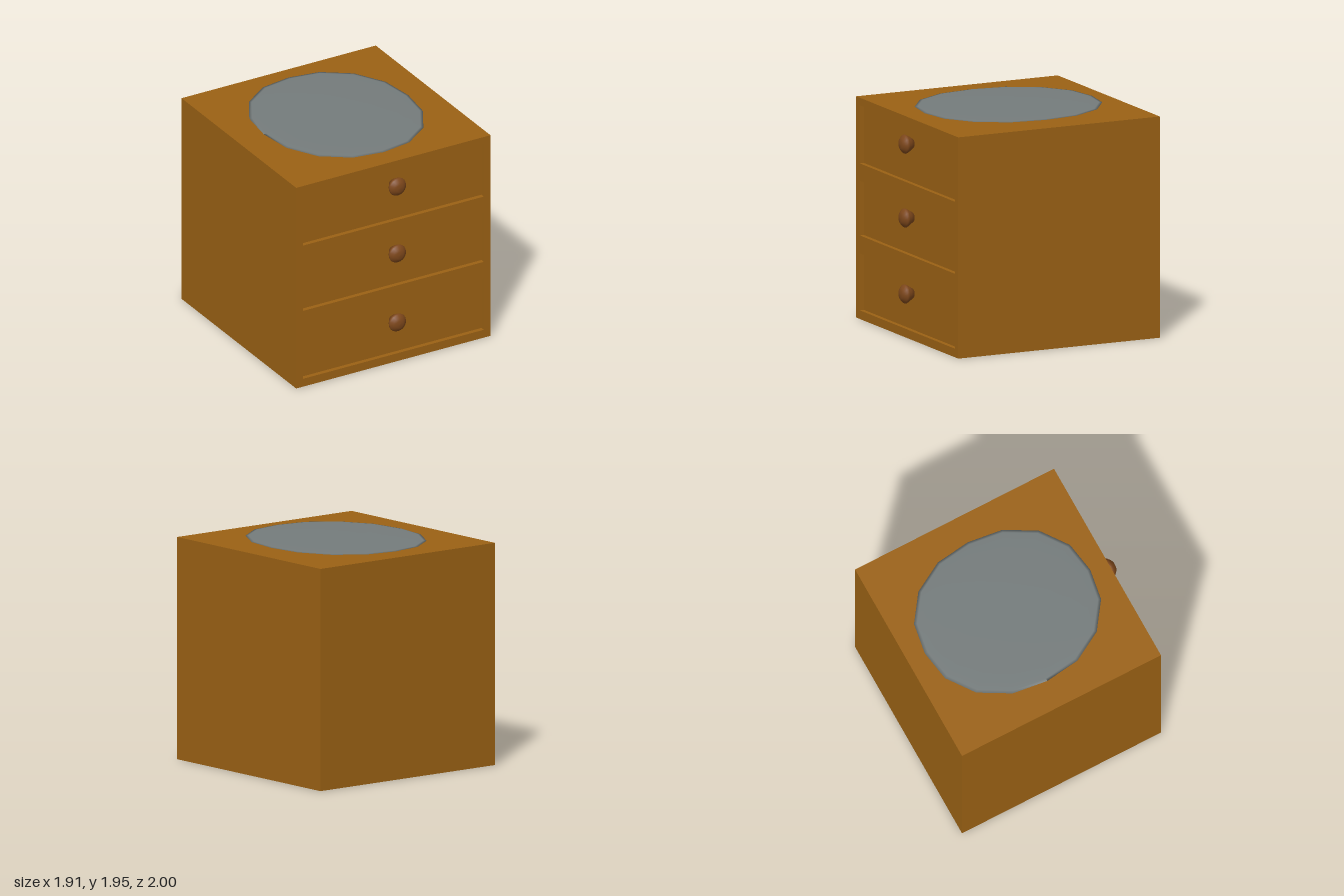
import * as THREE from 'three';

const wood = new THREE.MeshStandardMaterial({ color: 0x9a6114 });
const knobWood = new THREE.MeshStandardMaterial({ color: 0x7d471b });
const glass = new THREE.MeshStandardMaterial({ color: 0x747b7b });

const LEFT = -0.96, RIGHT = 0.955, TOP = 1.92, BACK = -1, FRONT = 0.92;
const FRAME = 0.05; // thickness of the front frame
const DRAWERS = [ // bottom, top and knob height of each drawer
  { name: 'bottom', y0: 0.075, y1: 0.57, knobY: 0.39 },
  { name: 'middle', y0: 0.725, y1: 1.2, knobY: 1.05 },
  { name: 'top', y0: 1.35, y1: 1.855, knobY: 1.69 },
];
const DRAWER_X0 = -0.895, DRAWER_X1 = 0.89;

function add(group, name, geometry, material) {
  const mesh = new THREE.Mesh(geometry, material);
  mesh.name = name;
  group.add(mesh);
  return mesh;
}

function boxBetween(x0, x1, y0, y1, z0, z1) {
  return new THREE.BoxGeometry(x1 - x0, y1 - y0, z1 - z0)
    .translate((x0 + x1) / 2, (y0 + y1) / 2, (z0 + z1) / 2);
}

function rectangle(path, x0, x1, y0, y1) {
  path.moveTo(x0, y0);
  path.lineTo(x1, y0);
  path.lineTo(x1, y1);
  path.lineTo(x0, y1);
  path.closePath();
  return path;
}

export function createModel() {
  const model = new THREE.Group();
  model.name = 'chestOfDrawers';

  // Solid cabinet behind the front frame
  add(model, 'cabinet', boxBetween(LEFT, RIGHT, 0, TOP, BACK, FRONT - FRAME), wood);

  // Front frame with an opening for each drawer
  const outline = rectangle(new THREE.Shape(), LEFT, RIGHT, 0, TOP);
  for (const d of DRAWERS) {
    outline.holes.push(rectangle(new THREE.Path(), DRAWER_X0, DRAWER_X1, d.y0, d.y1));
  }
  const frame = new THREE.ExtrudeGeometry(outline, { depth: FRAME, bevelEnabled: false });
  add(model, 'frontFrame', frame.translate(0, 0, FRONT - FRAME), wood);

  // Recessed drawer fronts, each with a turned knob
  const knobProfile = [[0, -0.04], [0.04, -0.04], [0.066, 0], [0.08, 0.024], [0.083, 0.034],
    [0.078, 0.046], [0.056, 0.066], [0.034, 0.078], [0, 0.08]]
    .map(([r, h]) => new THREE.Vector2(r, h));
  const knob = new THREE.LatheGeometry(knobProfile, 20).rotateX(Math.PI / 2);
  for (const d of DRAWERS) {
    const drawer = new THREE.Group();
    drawer.name = d.name + 'Drawer';
    add(drawer, 'drawerFront',
      boxBetween(DRAWER_X0, DRAWER_X1, d.y0, d.y1, FRONT - FRAME, FRONT - 0.04), wood);
    add(drawer, 'knob', knob, knobWood).position.set(0.018, d.knobY, FRONT);
    model.add(drawer);
  }

  // Thin oval lens on top, its sixteen-sided rim slightly fuller on the diagonals
  const lens = new THREE.SphereGeometry(1, 16, 12);
  const p = lens.attributes.position;
  for (let i = 0; i < p.count; i++) {
    const angle = Math.atan2(p.getZ(i), p.getX(i));
    const bulge = 1 + 0.03 * Math.abs(Math.sin(2 * angle));
    p.setXYZ(i, p.getX(i) * 0.712 * bulge, p.getY(i) * 0.012, p.getZ(i) * 0.798 * bulge);
  }
  lens.computeVertexNormals();
  add(model, 'topPlate', lens, glass).position.set(0, 1.936, -0.043);

  return model;
}
